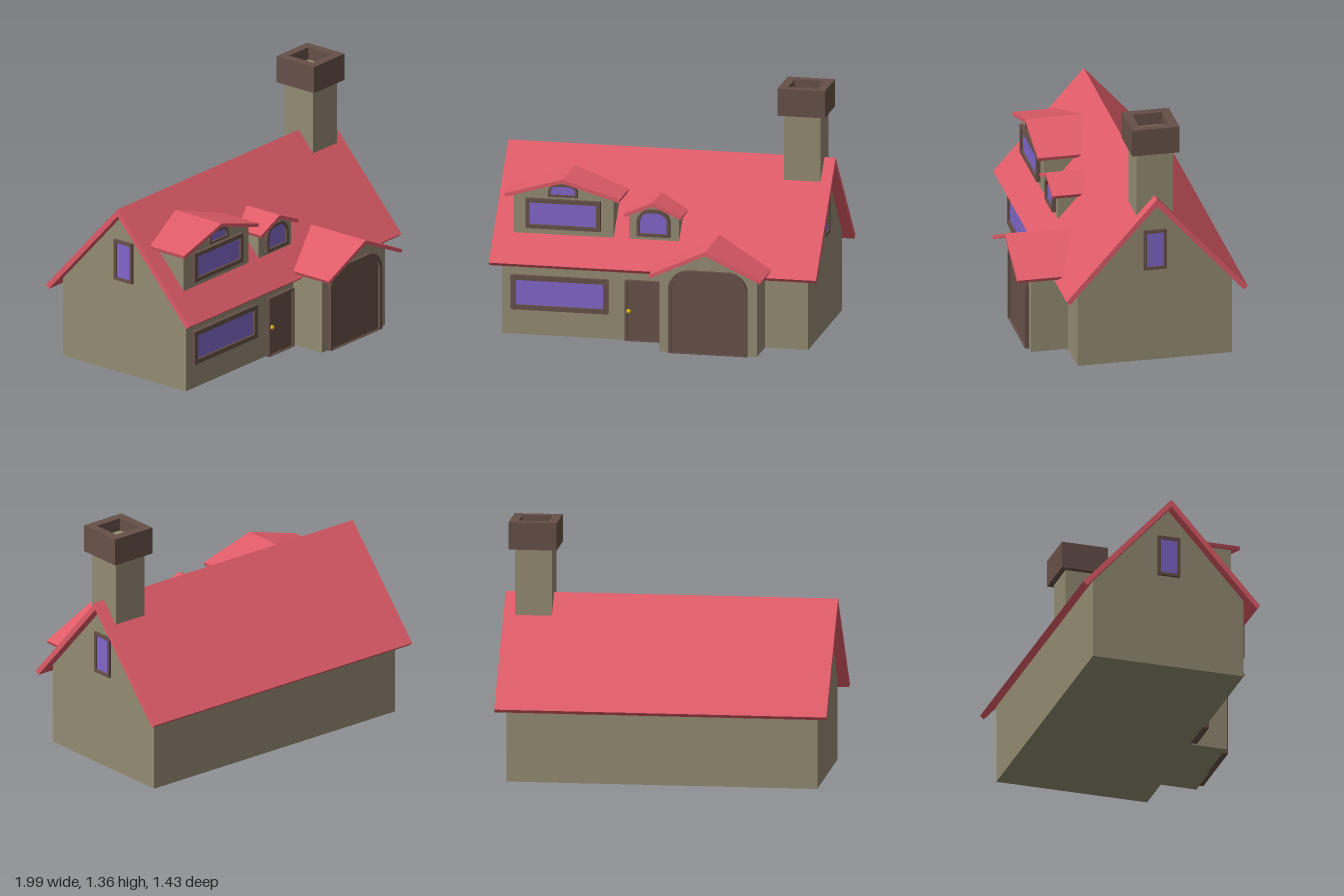
import * as THREE from 'three';

const mat = (color) => new THREE.MeshStandardMaterial({ color, flatShading: true });
const WALL = mat(0x938b72), ROOF = mat(0xdf5c68), WOOD = mat(0x665048);
const GLASS = mat(0x7f66c8), BRASS = mat(0xe0c010);

function add(parent, name, geometry, material, x = 0, y = 0, z = 0) {
  const mesh = new THREE.Mesh(geometry, material);
  mesh.name = name;
  mesh.position.set(x, y, z);
  parent.add(mesh);
  return mesh;
}

const extrude = (shape, depth) =>
  new THREE.ExtrudeGeometry(shape, { depth, bevelEnabled: false, curveSegments: 6 });

const polygon = (pts) => new THREE.Shape(pts.map(([x, y]) => new THREE.Vector2(x, y)));

// Chevron roof running along z from 0 to depth
function gableRoof(half, eave, ridge, t, depth) {
  const rise = ridge - eave, len = Math.hypot(half, rise);
  const bx = half - t * rise / len, by = eave - t * half / len;
  return extrude(polygon([
    [half, eave], [0, ridge], [-half, eave], [-bx, by], [0, ridge - t * len / half], [bx, by],
  ]), depth);
}

// Five-sided wall block running along z from 0 to depth
const gableWalls = (half, base, side, apex, depth) => extrude(polygon([
  [-half, base], [half, base], [half, side], [0, apex], [-half, side],
]), depth);

// Rectangle whose upper corners are rounded by r
function opening(half, bottom, top, r) {
  const s = new THREE.Shape();
  s.moveTo(-half, bottom);
  s.lineTo(half, bottom);
  s.lineTo(half, top - r);
  if (r > 0) s.absarc(half - r, top - r, r, 0, Math.PI / 2, false);
  s.lineTo(-half + r, top);
  if (r > 0) s.absarc(-half + r, top - r, r, Math.PI / 2, Math.PI, false);
  s.lineTo(-half, bottom);
  return s;
}

// Frame with a recessed filling, facing +z
function framed(parent, name, { half, bottom, top, r = 0, edge = 0.022, depth = 0.022, sill = true, fill = GLASS }) {
  const g = new THREE.Group();
  g.name = name;
  const inner = opening(half - edge, bottom + (sill ? edge : 0.004), top - edge, Math.max(0, r - edge));
  const outer = opening(half, bottom, top, r);
  outer.holes.push(inner);
  add(g, name + 'Frame', extrude(outer, depth + 0.01), WOOD, 0, 0, -0.01);
  add(g, name + 'Panel', extrude(inner, depth * 0.45 + 0.01), fill, 0, 0, -0.01);
  parent.add(g);
  return g;
}

// Roofed block projecting from the front: walls and gable roof
function projection(parent, name, p) {
  const g = new THREE.Group();
  g.name = name;
  g.position.x = p.x;
  const slope = (p.ridge - p.eave) / p.roofHalf;
  const apex = p.ridge - 0.018;
  add(g, name + 'Walls', gableWalls(p.half, p.base, apex - slope * p.half, apex, p.front - p.back - 0.01),
    WALL, 0, 0, p.back + 0.01);
  add(g, name + 'Roof', gableRoof(p.roofHalf, p.eave, p.ridge, 0.02, p.roofFront - p.back), ROOF, 0, 0, p.back);
  parent.add(g);
  return g;
}

export function createModel() {
  const model = new THREE.Group();
  model.name = 'cottage';
  const house = new THREE.Group();
  house.name = 'house';
  house.rotation.y = 0.263;
  model.add(house);

  // Main body and roof, ridge along x
  const body = new THREE.Group();
  body.name = 'mainBody';
  body.rotation.y = Math.PI / 2;
  house.add(body);
  add(body, 'mainWalls', gableWalls(0.425, 0, 0.447, 0.922, 1.68), WALL, 0, 0, -0.84);
  add(body, 'mainRoof', gableRoof(0.498, 0.405, 0.96, 0.028, 1.796), ROOF, 0, 0, -0.898);

  // Gable end windows
  for (const side of [1, -1]) {
    const w = framed(house, 'gableWindow', { half: 0.063, bottom: 0.53, top: 0.76, edge: 0.017, depth: 0.015 });
    w.rotation.y = side * Math.PI / 2;
    w.position.x = side * 0.84;
  }

  // Chimney: shaft and hollow cap
  const chimney = new THREE.Group();
  chimney.name = 'chimney';
  chimney.position.x = 0.737;
  house.add(chimney);
  add(chimney, 'chimneyShaft', new THREE.BoxGeometry(0.2, 0.54, 0.2), WALL, 0, 1.02, 0);
  const cap = opening(0.13, -0.13, 0.13, 0);
  cap.holes.push(opening(0.081, -0.081, 0.081, 0));
  add(chimney, 'chimneyCap', extrude(cap, 0.15), WOOD, 0, 1.21, 0).rotation.x = -Math.PI / 2;

  // Garage wing
  const wing = projection(house, 'garage', {
    x: 0.335, half: 0.268, base: 0, front: 0.626, back: 0.333,
    roofHalf: 0.311, eave: 0.443, ridge: 0.587, roofFront: 0.71,
  });
  framed(wing, 'garageDoor', { half: 0.217, bottom: 0, top: 0.46, r: 0.11, edge: 0.02, sill: false, fill: WOOD })
    .position.z = 0.626;

  // Wide dormer with a main window and a small arched one
  const wide = projection(house, 'wideDormer', {
    x: -0.515, half: 0.275, base: 0.5, front: 0.37, back: 0.086,
    roofHalf: 0.317, eave: 0.77, ridge: 0.863, roofFront: 0.407,
  });
  framed(wide, 'wideDormerWindow', { half: 0.205, bottom: 0.58, top: 0.745 }).position.z = 0.37;
  framed(wide, 'atticWindow', { half: 0.08, bottom: 0.76, top: 0.83, r: 0.045, edge: 0.012 }).position.z = 0.37;

  // Small dormer
  const small = projection(house, 'smallDormer', {
    x: -0.018, half: 0.137, base: 0.5, front: 0.37, back: 0.177,
    roofHalf: 0.16, eave: 0.692, ridge: 0.763, roofFront: 0.405,
  });
  framed(small, 'smallDormerWindow', { half: 0.091, bottom: 0.568, top: 0.717, r: 0.07, edge: 0.017 })
    .position.z = 0.37;

  // Ground floor window
  framed(house, 'frontWindow', { half: 0.267, bottom: 0.14, top: 0.33, edge: 0.026 }).position.set(-0.522, 0, 0.425);

  // Front door with knob
  const door = framed(house, 'frontDoor', {
    half: 0.107, bottom: 0, top: 0.335, edge: 0.012, depth: 0.025, sill: false, fill: WOOD,
  });
  door.position.set(-0.055, 0, 0.425);
  add(door, 'doorKnob', new THREE.SphereGeometry(0.013, 8, 6), BRASS, -0.085, 0.165, 0.025);

  return model;
}
